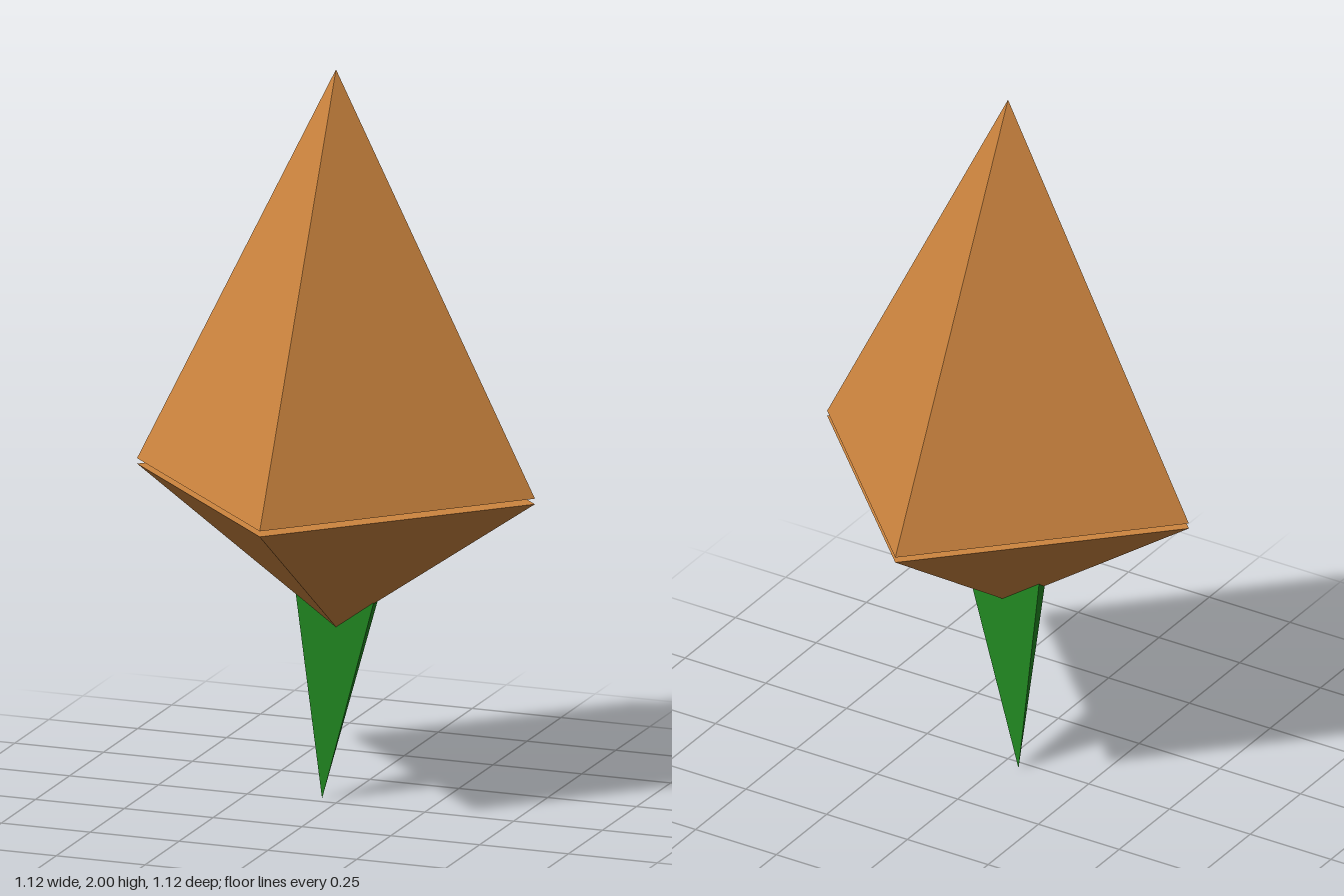
import * as THREE from 'three';

const RADIUS = 0.56;

// Four-sided pyramid with its corners on the x and z axes
function pyramid(name, baseY, tipY, material) {
  const height = Math.abs(tipY - baseY);
  const geometry = new THREE.ConeGeometry(RADIUS, height, 4);
  if (tipY < baseY) geometry.rotateX(Math.PI);
  const mesh = new THREE.Mesh(geometry, material);
  mesh.name = name;
  mesh.position.y = (baseY + tipY) / 2;
  return mesh;
}

// Thin wedge tapering from a flat rectangular top to an off-centre point
function stem(material) {
  const height = 0.62;
  const tip = { x: -0.05, z: -0.028 };
  const top = { x: 0.0035, z: -0.01, width: 0.243, depth: 0.036 };
  const geometry = new THREE.CylinderGeometry(Math.SQRT1_2, 0, height, 4, 1)
    .rotateY(Math.PI / 4)
    .translate(0, height / 2, 0);
  const p = geometry.attributes.position;
  for (let i = 0; i < p.count; i++) {
    const t = p.getY(i) / height;
    p.setX(i, THREE.MathUtils.lerp(tip.x, top.x, t) + p.getX(i) * top.width);
    p.setZ(i, THREE.MathUtils.lerp(tip.z, top.z, t) + p.getZ(i) * top.depth);
  }
  geometry.computeVertexNormals();
  const mesh = new THREE.Mesh(geometry, material);
  mesh.name = 'stem';
  return mesh;
}

export function createModel() {
  const orange = new THREE.MeshStandardMaterial({ color: 0xcd853f, flatShading: true });
  const green = new THREE.MeshStandardMaterial({ color: 0x228b22, flatShading: true });

  const model = new THREE.Group();
  model.name = 'spinningTop';
  // The two halves are parted by a narrow gap
  model.add(
    pyramid('upperPyramid', 0.885, 2, orange),
    pyramid('lowerPyramid', 0.87, 0.48, orange),
    stem(green)
  );
  return model;
}
